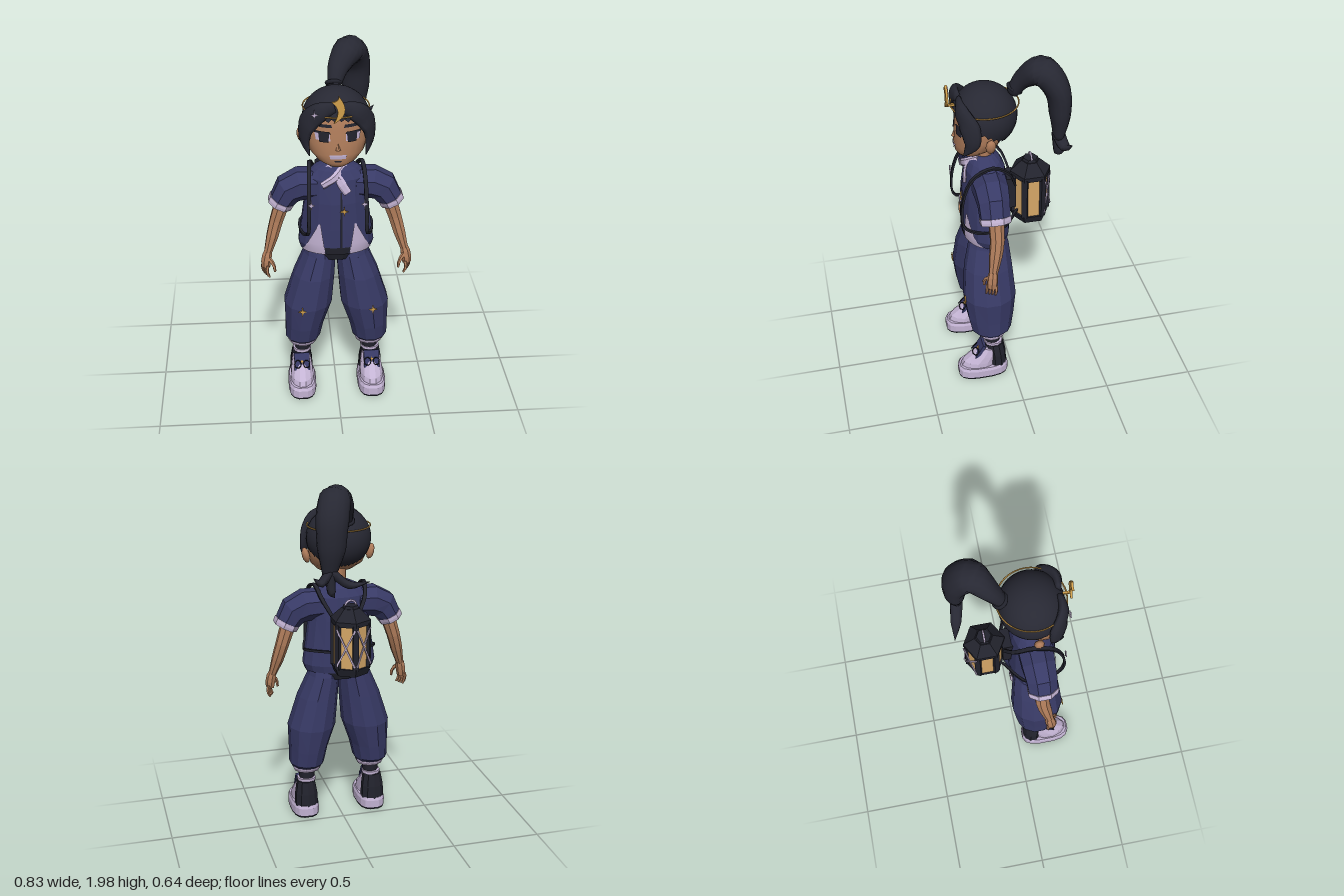
import * as THREE from 'three';

const V = (x, y, z) => new THREE.Vector3(x, y, z);
const paint = (name, color) => Object.assign(new THREE.MeshStandardMaterial({ color }), { name });

// Joins rings (centre c, half axes u and v) into a closed skin
function loft(rings, n, smooth = false, power = 1) {
  const pos = [], idx = [], bend = (k) => Math.sign(k) * Math.abs(k) ** power;
  for (const { c, u, v } of rings) {
    for (let j = 0; j < n; j++) {
      const a = ((j + 0.5) / n) * Math.PI * 2;
      const p = c.clone().addScaledVector(u, bend(Math.cos(a))).addScaledVector(v, bend(Math.sin(a)));
      pos.push(p.x, p.y, p.z);
    }
  }
  const m = rings.length;
  for (let i = 0; i < m - 1; i++) {
    for (let j = 0; j < n; j++) {
      const a = i * n + j, b = i * n + ((j + 1) % n);
      idx.push(a, b, a + n, b, b + n, a + n);
    }
  }
  const first = rings[0].c, last = rings[m - 1].c;
  pos.push(first.x, first.y, first.z, last.x, last.y, last.z);
  for (let j = 0; j < n; j++) {
    const k = (j + 1) % n, e = (m - 1) * n;
    idx.push(m * n, k, j, m * n + 1, e + j, e + k);
  }
  let g = new THREE.BufferGeometry();
  g.setAttribute('position', new THREE.Float32BufferAttribute(pos, 3));
  g.setIndex(idx);
  if (!smooth) g = g.toNonIndexed();
  g.computeVertexNormals();
  return g;
}

// Horizontal rings, rows of [y, centre x, centre z, half width, half depth]
const stack = (rows, n, smooth, power) => loft(rows.map(([y, x, z, rx, rz]) =>
  ({ c: V(x, y, z), u: V(rx, 0, 0), v: V(0, 0, -rz) })), n, smooth, power);

// Elliptic section along a curve; radii are [along ref, across ref]
function sweep(points, radii, ref, n, steps, smooth) {
  const curve = new THREE.CatmullRomCurve3(points.map((p) => V(...p))), rings = [];
  for (let i = 0; i <= steps; i++) {
    const t = i / steps, f = t * (radii.length - 1), k = Math.min(Math.floor(f), radii.length - 2);
    const r = [0, 1].map((q) => THREE.MathUtils.lerp(radii[k][q], radii[k + 1][q], f - k));
    const c = curve.getPoint(t), tan = curve.getTangent(t);
    const u = (typeof ref === 'function' ? ref(c) : ref).clone();
    u.addScaledVector(tan, -u.dot(tan)).normalize();
    rings.push({ c, v: tan.clone().cross(u).multiplyScalar(r[1]), u: u.multiplyScalar(r[0]) });
  }
  return loft(rings, n, smooth);
}

// Row of a stack at height y, and the front surface depth there
function rowAt(rows, y) {
  let i = 0;
  while (i < rows.length - 2 && rows[i + 1][0] < y) i++;
  const t = THREE.MathUtils.clamp((y - rows[i][0]) / (rows[i + 1][0] - rows[i][0]), 0, 1);
  return rows[i].map((a, k) => THREE.MathUtils.lerp(a, rows[i + 1][k], t));
}
function frontZ(rows, x, y) {
  const [, cx, cz, rx, rz] = rowAt(rows, y);
  return cz + rz * Math.sqrt(Math.max(0, 1 - ((x - cx) / rx) ** 2));
}

// Thin panel hugging the front of a stack, from [x0, x1] at y0 to [x0, x1] at y1
function panel(rows, y0, low, y1, high, lift = 0.005) {
  const g = new THREE.PlaneGeometry(1, 1, 8, 6), p = g.attributes.position;
  for (let i = 0; i < p.count; i++) {
    const s = p.getX(i) + 0.5, t = p.getY(i) + 0.5, y = y0 + (y1 - y0) * t;
    const lo = low[0] + (high[0] - low[0]) * t, hi = low[1] + (high[1] - low[1]) * t;
    const x = lo + (hi - lo) * s;
    p.setXYZ(i, x, y, frontZ(rows, x, y) + lift);
  }
  g.computeVertexNormals();
  return g;
}

function starGeometry(w, h) {
  const s = new THREE.Shape();
  for (let i = 0; i < 8; i++) {
    const a = (i * Math.PI) / 4, r = i % 2 ? 0.3 : 1;
    s[i ? 'lineTo' : 'moveTo'](Math.cos(a) * w * r, Math.sin(a) * h * r);
  }
  return new THREE.ExtrudeGeometry(s, { depth: 0.006, bevelEnabled: false });
}

export function createModel() {
  const model = new THREE.Group();
  const skin = paint('skin', 0xb07d5b), navy = paint('navy cloth', 0x383a66), hair = paint('hair', 0x272833);
  const dark = paint('dark trim', 0x22232d), pale = paint('lavender', 0xc3b3d3), gold = paint('gold', 0xd2a04c);
  const glow = paint('lantern glow', 0xd6a868);
  const add = (name, geometry, material, x = 0, y = 0, z = 0, parent = model) => {
    const mesh = new THREE.Mesh(geometry, material);
    mesh.name = name;
    mesh.position.set(x, y, z);
    parent.add(mesh);
    return mesh;
  };
  const span = (s, a, b) => (s > 0 ? [a, b] : [-b, -a]);
  const AX = V(1, 0, 0), AZ = V(0, 0, 1);

  // Head and face
  const face = [[1.43, 0, 0.215, 0.045, 0.035], [1.455, 0, 0.185, 0.1, 0.08], [1.5, 0, 0.15, 0.145, 0.12],
    [1.56, 0, 0.13, 0.163, 0.135], [1.64, 0, 0.12, 0.165, 0.138], [1.72, 0, 0.115, 0.15, 0.13], [1.77, 0, 0.11, 0.1, 0.09]];
  add('head', stack(face, 24, true), skin);
  add('neck', new THREE.CylinderGeometry(0.042, 0.046, 0.16, 8), skin, 0, 1.42, 0.11);
  add('nose', new THREE.ConeGeometry(0.014, 0.035, 4), skin, 0, 1.55, 0.268);
  add('mouth', panel(face, 1.484, [-0.04, 0.04], 1.507, [-0.045, 0.045]), pale);
  add('lowerLip', panel(face, 1.466, [-0.015, 0.015], 1.474, [-0.02, 0.02]), dark);
  for (const s of [1, -1]) {
    add('eyeWhite', panel(face, 1.582, span(s, 0.04, 0.112), 1.62, span(s, 0.04, 0.118)), pale);
    add('iris', panel(face, 1.575, span(s, 0.05, 0.095), 1.625, span(s, 0.045, 0.1), 0.008), dark);
    add('eyelid', panel(face, 1.62, span(s, 0.035, 0.12), 1.632, span(s, 0.045, 0.12), 0.008), dark);
    add('eyebrow', panel(face, 1.652, span(s, 0.03, 0.11), 1.668, span(s, 0.035, 0.1)), dark);
    const ear = add('ear', new THREE.SphereGeometry(0.04, 8, 6), skin, s * 0.182, 1.555, 0.11);
    ear.scale.set(0.55, 1.1, 0.7);
    ear.rotation.z = -s * 0.25;
  }

  // Hair cap: short over the face, long at the nape
  const cap = new THREE.SphereGeometry(1, 32, 16), cp = cap.attributes.position, uv = cap.attributes.uv;
  for (let i = 0; i < cp.count; i++) {
    const az = uv.getX(i) * Math.PI * 2, th = (1 - uv.getY(i)) * (1.95 - 0.64 * Math.sin(az));
    cp.setXYZ(i, -Math.cos(az) * Math.sin(th) * 0.178, Math.cos(th) * 0.17, Math.sin(az) * Math.sin(th) * 0.172);
  }
  cap.computeVertexNormals();
  const hairShell = hair.clone();
  hairShell.side = THREE.DoubleSide;
  add('hairCap', cap, hairShell, 0, 1.645, 0.105);
  const outward = (c) => V(c.x, 0, c.z - 0.105);
  for (const s of [1, -1]) {
    add('frontLock', sweep([[s * 0.015, 1.755, 0.24], [s * 0.09, 1.735, 0.245], [s * 0.152, 1.665, 0.212],
      [s * 0.168, 1.58, 0.205], [s * 0.145, 1.495, 0.245]],
    [[0.015, 0.03], [0.026, 0.05], [0.026, 0.062], [0.02, 0.045], [0.002, 0.003]], outward, 10, 16, true), hair);
  }
  add('ponytail', sweep([[0, 1.755, -0.045], [0.03, 1.85, -0.1], [0.09, 1.91, -0.175], [0.125, 1.82, -0.245],
    [0.135, 1.67, -0.262], [0.145, 1.53, -0.255]],
  [[0.034, 0.034], [0.06, 0.05], [0.085, 0.08], [0.087, 0.068], [0.075, 0.055], [0.035, 0.025]], AX, 14, 24, true), hair);
  for (const [x, y, z] of [[0.24, 1.54, -0.305], [-0.06, 1.5, -0.3], [0.12, 1.42, -0.275]]) {
    add('ponytailTip', sweep([[0.14, 1.56, -0.255], [(x + 0.15) / 2, (y + 1.47) / 2, (z - 0.255) / 2], [x, y, z]],
      [[0.035, 0.025], [0.03, 0.022], [0.001, 0.001]], AZ, 8, 8, true), hair);
  }
  add('hairTie', new THREE.TorusGeometry(0.036, 0.012, 6, 14), dark, 0, 1.775, -0.055).rotation.x = 1.0;

  // Headband with crescent ornament
  const band = add('headband', new THREE.TorusGeometry(0.172, 0.004, 6, 40), gold, 0, 1.715, 0.103);
  band.rotation.x = Math.PI / 2;
  band.scale.y = 1.03;
  const moon = new THREE.Shape();
  moon.moveTo(0, 0.075);
  moon.quadraticCurveTo(0.075, -0.015, -0.025, -0.07);
  moon.quadraticCurveTo(0.02, 0, -0.035, 0.045);
  moon.quadraticCurveTo(0, 0.045, 0, 0.075);
  add('crescent', new THREE.ExtrudeGeometry(moon, { depth: 0.012, bevelEnabled: false }), gold, 0, 1.765, 0.295);
  add('crescentPin', new THREE.BoxGeometry(0.012, 0.012, 0.04), gold, 0, 1.72, 0.28);
  add('hairStar', starGeometry(0.02, 0.028), pale, -0.12, 1.73, 0.27);

  // Shirt
  const shirt = [[0.9, 0, 0.11, 0.195, 0.125], [0.94, 0, 0.11, 0.208, 0.132], [1.05, 0, 0.112, 0.192, 0.13],
    [1.2, 0, 0.112, 0.172, 0.125], [1.33, 0, 0.11, 0.168, 0.108], [1.375, 0, 0.11, 0.12, 0.085], [1.405, 0, 0.11, 0.055, 0.055]];
  add('shirt', stack(shirt, 16), navy);
  add('waistband', stack([[0.855, 0, 0.11, 0.13, 0.105], [0.905, 0, 0.11, 0.188, 0.122]], 16), dark);
  add('waistPanel', panel(shirt, 0.9, [-0.05, 0.05], 0.945, [-0.1, 0.1], 0.003), dark);
  add('shirtSeam', panel(shirt, 0.94, [0.015, 0.027], 1.27, [0.015, 0.024]), dark);
  add('chestStar', starGeometry(0.022, 0.03), gold, 0.035, 1.165, 0.243);
  add('collarOver', sweep([[0.045, 1.395, 0.15], [-0.005, 1.35, 0.205], [-0.08, 1.305, 0.215]],
    [[0.012, 0.022], [0.012, 0.026], [0.01, 0.02]], AZ, 6, 6), pale);
  add('collarUnder', sweep([[-0.045, 1.395, 0.15], [0.01, 1.33, 0.212], [0.055, 1.265, 0.228]],
    [[0.012, 0.022], [0.01, 0.026], [0.008, 0.022]], AZ, 6, 6), pale);

  // Paired parts: arms, straps, legs and shoes
  for (const s of [1, -1]) {
    add('hemPanel', panel(shirt, 0.902, span(s, 0.065, 0.188), 1.085, span(s, 0.09, 0.1), 0.006), pale);
    add('strapStar', starGeometry(0.018, 0.032), pale, s * 0.14, 1.22, 0.268);
    add('sleeve', sweep([[s * 0.1, 1.28, 0.11], [s * 0.19, 1.275, 0.11], [s * 0.255, 1.245, 0.113], [s * 0.298, 1.175, 0.115]],
      [[0.1, 0.085], [0.095, 0.092], [0.088, 0.085], [0.083, 0.066]], AZ, 8, 3), navy);
    add('sleeveCuff', sweep([[s * 0.29, 1.188, 0.115], [s * 0.298, 1.172, 0.115], [s * 0.305, 1.157, 0.115]],
      [[0.088, 0.072], [0.088, 0.072], [0.084, 0.069]], AZ, 8, 2), pale);
    add('arm', sweep([[s * 0.28, 1.19, 0.11], [s * 0.322, 1.06, 0.11], [s * 0.347, 0.97, 0.125], [s * 0.375, 0.875, 0.145]],
      [[0.044, 0.044], [0.04, 0.038], [0.036, 0.034], [0.024, 0.022]], AZ, 8, 6), skin);
    add('palm', sweep([[s * 0.372, 0.89, 0.143], [s * 0.383, 0.845, 0.15], [s * 0.388, 0.795, 0.155]],
      [[0.022, 0.022], [0.032, 0.03], [0.028, 0.024]], AZ, 7, 3), skin);
    for (let f = 0; f < 4; f++) {
      const z = 0.133 + f * 0.015, x = 0.4 - f * 0.008;
      add('finger', sweep([[s * x, 0.81, z], [s * (x + 0.006), 0.775, z + 0.002], [s * (x - 0.008), 0.742, z + 0.004]],
        [[0.009, 0.01], [0.009, 0.01], [0.006, 0.006]], AZ, 5, 3), skin);
    }
    add('thumb', sweep([[s * 0.37, 0.85, 0.165], [s * 0.345, 0.82, 0.185], [s * 0.338, 0.78, 0.188]],
      [[0.012, 0.012], [0.011, 0.011], [0.007, 0.007]], AZ, 5, 3), skin);
    add('packStrap', sweep([[s * 0.05, 1.2, -0.05], [s * 0.12, 1.33, 0.0], [s * 0.14, 1.39, 0.09], [s * 0.148, 1.345, 0.2],
      [s * 0.152, 1.2, 0.258], [s * 0.158, 1.04, 0.25], [s * 0.19, 1.01, 0.16], [s * 0.19, 1.03, 0.05], [s * 0.06, 1.04, -0.06]],
    [[0.012, 0.009], [0.015, 0.008], [0.015, 0.008], [0.015, 0.008], [0.015, 0.008], [0.013, 0.008], [0.009, 0.009],
      [0.009, 0.009], [0.009, 0.009]], AX, 4, 28), dark);

    const leg = [[0.3, 0.19, 0.12, 0.08, 0.078], [0.33, 0.19, 0.12, 0.1, 0.115], [0.42, 0.18, 0.122, 0.11, 0.132],
      [0.56, 0.158, 0.122, 0.136, 0.15], [0.74, 0.122, 0.12, 0.115, 0.135], [0.87, 0.09, 0.11, 0.09, 0.113],
      [0.92, 0.085, 0.11, 0.085, 0.1]].map((r) => [r[0], s * r[1], ...r.slice(2)]);
    add('trouserLeg', stack(leg, 12), navy);
    add('trouserStar', starGeometry(0.022, 0.032), gold, s * 0.195, 0.56, frontZ(leg, s * 0.195, 0.56) - 0.002);
    add('trouserCuff', stack([[0.28, s * 0.19, 0.12, 0.076, 0.073], [0.3, s * 0.19, 0.12, 0.085, 0.086],
      [0.335, s * 0.19, 0.12, 0.086, 0.09]], 12), pale);
    add('sock', new THREE.CylinderGeometry(0.05, 0.042, 0.12, 10), dark, s * 0.192, 0.25, 0.115);
    add('sockRing', new THREE.CylinderGeometry(0.054, 0.054, 0.016, 10), pale, s * 0.195, 0.224, 0.11);

    const x = s * 0.2;
    add('outsole', stack([[0, x, 0.175, 0.077, 0.143], [0.012, x, 0.175, 0.08, 0.146]], 16, false, 0.7), dark);
    add('sole', stack([[0.012, x, 0.175, 0.08, 0.146], [0.055, x, 0.175, 0.08, 0.146], [0.072, x, 0.173, 0.073, 0.138]],
      16, false, 0.7), pale);
    add('shoeUpper', stack([[0.065, x, 0.195, 0.068, 0.112], [0.1, x, 0.185, 0.066, 0.105], [0.14, x, 0.155, 0.06, 0.085],
      [0.19, x, 0.13, 0.05, 0.055]], 12), pale);
    add('heel', stack([[0.065, x, 0.092, 0.069, 0.058], [0.14, x, 0.096, 0.065, 0.058], [0.215, x, 0.105, 0.052, 0.054]], 10), dark);
    const tongue = add('tongue', new THREE.BoxGeometry(0.088, 0.1, 0.02), navy, x, 0.175, 0.193);
    tongue.rotation.x = -0.5;
    add('tongueStar', starGeometry(0.016, 0.014), gold, 0, 0, 0.008, tongue);
    for (const k of [1, -1]) {
      const lace = add('laceLoop', new THREE.TorusGeometry(0.022, 0.003, 4, 10), dark, x + k * 0.025, 0.175, 0.22);
      lace.rotation.set(-0.7, k * 0.6, 0);
    }
  }

  // Lantern backpack
  const lantern = new THREE.Group();
  lantern.name = 'lanternPack';
  lantern.position.set(0, 0, -0.146);
  model.add(lantern);
  const hex = (name, top, bottom, y0, y1, mat) =>
    add(name, new THREE.CylinderGeometry(top, bottom, y1 - y0, 6).toNonIndexed(), mat, 0, (y0 + y1) / 2, 0, lantern)
      .geometry.computeVertexNormals();
  hex('lanternGlass', 0.1, 0.1, 0.98, 1.26, glow);
  hex('lanternBase', 0.112, 0.095, 0.955, 1.0, dark);
  hex('lanternRim', 0.112, 0.112, 1.235, 1.262, dark);
  hex('lanternRoof', 0.05, 0.112, 1.262, 1.32, dark);
  hex('lanternCap', 0.04, 0.045, 1.32, 1.335, dark);
  add('lanternHandle', new THREE.TorusGeometry(0.03, 0.006, 5, 12, Math.PI), pale, 0, 1.33, 0, lantern);
  for (let i = 0; i < 6; i++) {
    const side = new THREE.Group();
    side.name = 'lanternSide';
    side.rotation.y = (i * Math.PI) / 3;
    lantern.add(side);
    add('lanternPost', new THREE.BoxGeometry(0.032, 0.25, 0.02), dark, 0, 1.12, 0.098, side);
    if (i !== 2 && i !== 3) continue;
    for (const k of [1, -1]) {
      const ribbons = new THREE.Group();
      ribbons.name = 'crossRibbon';
      ribbons.rotation.y = Math.PI / 6;
      side.add(ribbons);
      add('ribbon', new THREE.BoxGeometry(0.009, 0.23, 0.006), pale, 0, 1.12, 0.1 + k * 0.002, ribbons).rotation.z = k * 0.45;
    }
  }
  add('packPlate', new THREE.BoxGeometry(0.11, 0.19, 0.06), dark, 0, 1.15, -0.025);
  return model;
}
